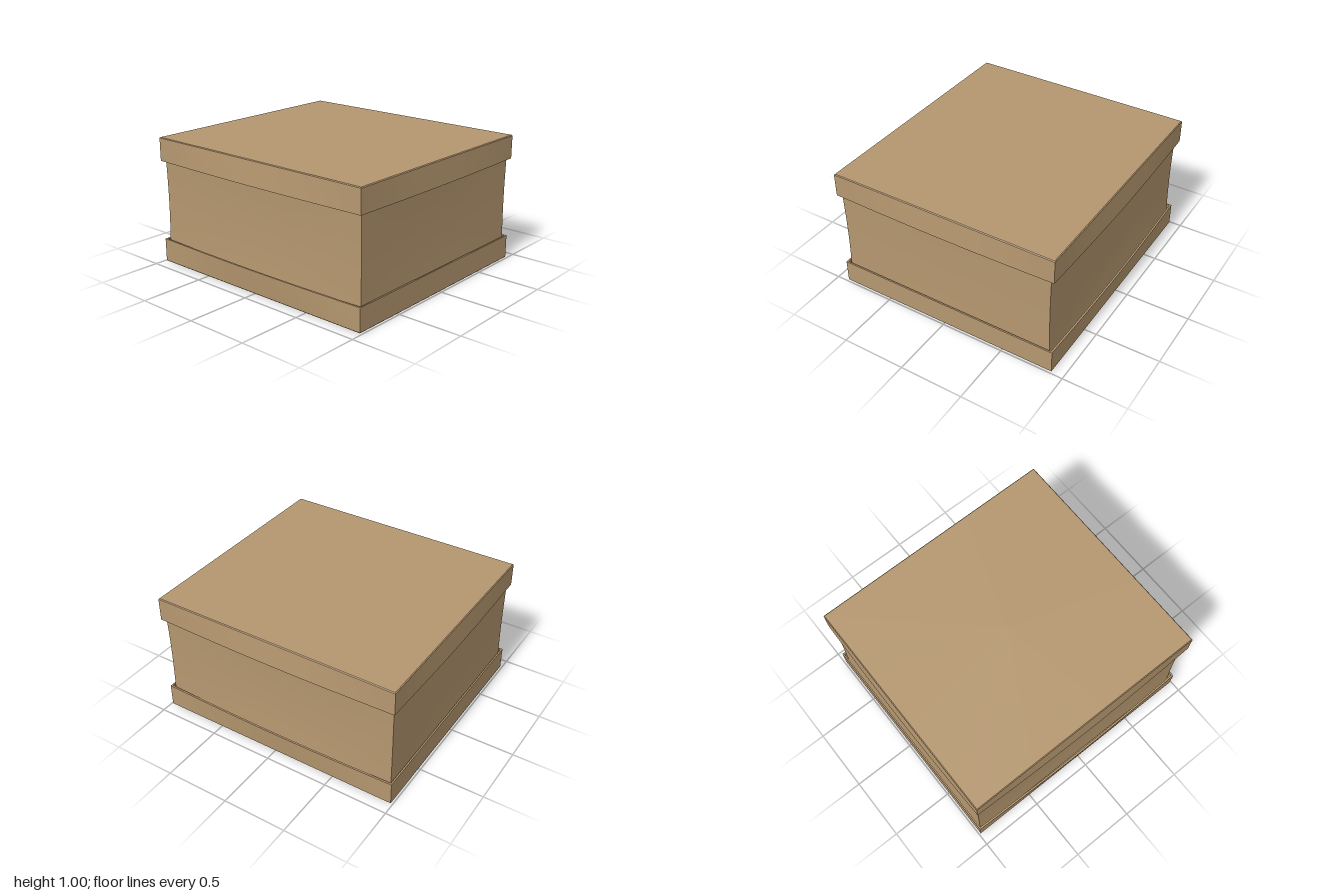
import * as THREE from 'three';
import { toCreasedNormals } from 'three/addons/utils/BufferGeometryUtils.js';

const SEG = 12; // divisions along each side of a ring

// Rectangular ring whose sides bow by bx / bz at their middles, counter-clockwise from above
function ring({ y, hx, hz, bx = 0, bz = 0 }) {
  const pts = [];
  const sides = [
    (t, c) => [hx + bx * c, y, -t * hz],
    (t, c) => [-t * hx, y, -hz - bz * c],
    (t, c) => [-hx - bx * c, y, t * hz],
    (t, c) => [t * hx, y, hz + bz * c],
  ];
  for (const side of sides) {
    for (let i = 0; i < SEG; i++) {
      const t = (2 * i) / SEG - 1;
      pts.push(side(t, Math.cos((t * Math.PI) / 2)));
    }
  }
  return pts;
}

// Skin through the rings, closed with a fan at both ends
function loft(sections) {
  const n = SEG * 4;
  const pos = sections.flatMap((s) => ring(s).flat());
  const index = [];
  for (let i = 0; i < sections.length - 1; i++) {
    for (let j = 0; j < n; j++) {
      const a = i * n + j, b = i * n + ((j + 1) % n);
      index.push(a, b, a + n, b, b + n, a + n);
    }
  }
  const last = (sections.length - 1) * n;
  const c0 = sections.length * n, c1 = c0 + 1;
  pos.push(0, sections[0].y, 0, 0, sections[sections.length - 1].y, 0);
  for (let j = 0; j < n; j++) {
    const k = (j + 1) % n;
    index.push(c0, k, j, c1, last + j, last + k);
  }
  const g = new THREE.BufferGeometry();
  g.setAttribute('position', new THREE.Float32BufferAttribute(pos, 3));
  g.setIndex(index);
  return toCreasedNormals(g, 0.5);
}

// Shallow open tray with thin walls that bulge outwards at the rim
function trayGeometry(height, bx, bz) {
  return loft([
    { y: 0, hx: 0.9, hz: 0.98 },
    { y: 0.006, hx: 0.906, hz: 0.986 },
    { y: height * 0.5, hx: 0.906, hz: 0.986, bx: bx * 0.5, bz: bz * 0.5 },
    { y: height, hx: 0.906, hz: 0.986, bx, bz },
    { y: height, hx: 0.892, hz: 0.974, bx, bz },
    { y: 0.015, hx: 0.892, hz: 0.974 },
  ]);
}

export function createModel() {
  const model = new THREE.Group();
  const card = new THREE.MeshStandardMaterial({ color: 0xb5976f });
  const add = (name, geometry) => {
    const mesh = new THREE.Mesh(geometry, card);
    mesh.name = name;
    model.add(mesh);
    return mesh;
  };

  // Inner box, its panels pinched slightly inwards at mid height
  const sections = [];
  for (let i = 0; i <= 10; i++) {
    const y = 0.015 + 0.097 * i;
    const pinch = Math.sin(Math.PI * y);
    sections.push({
      y,
      hx: 0.88 - 0.012 * pinch,
      hz: 0.966 - 0.004 * pinch,
      bx: -0.01 * pinch,
      bz: -0.008 * pinch,
    });
  }
  add('boxBody', loft(sections));

  // Bottom tray, and the lid as an inverted tray
  add('bottomTray', trayGeometry(0.185, 0.018, 0));
  const lid = add('lid', trayGeometry(0.185, 0.018, 0.014));
  lid.rotation.x = Math.PI;
  lid.position.y = 1;

  return model;
}
